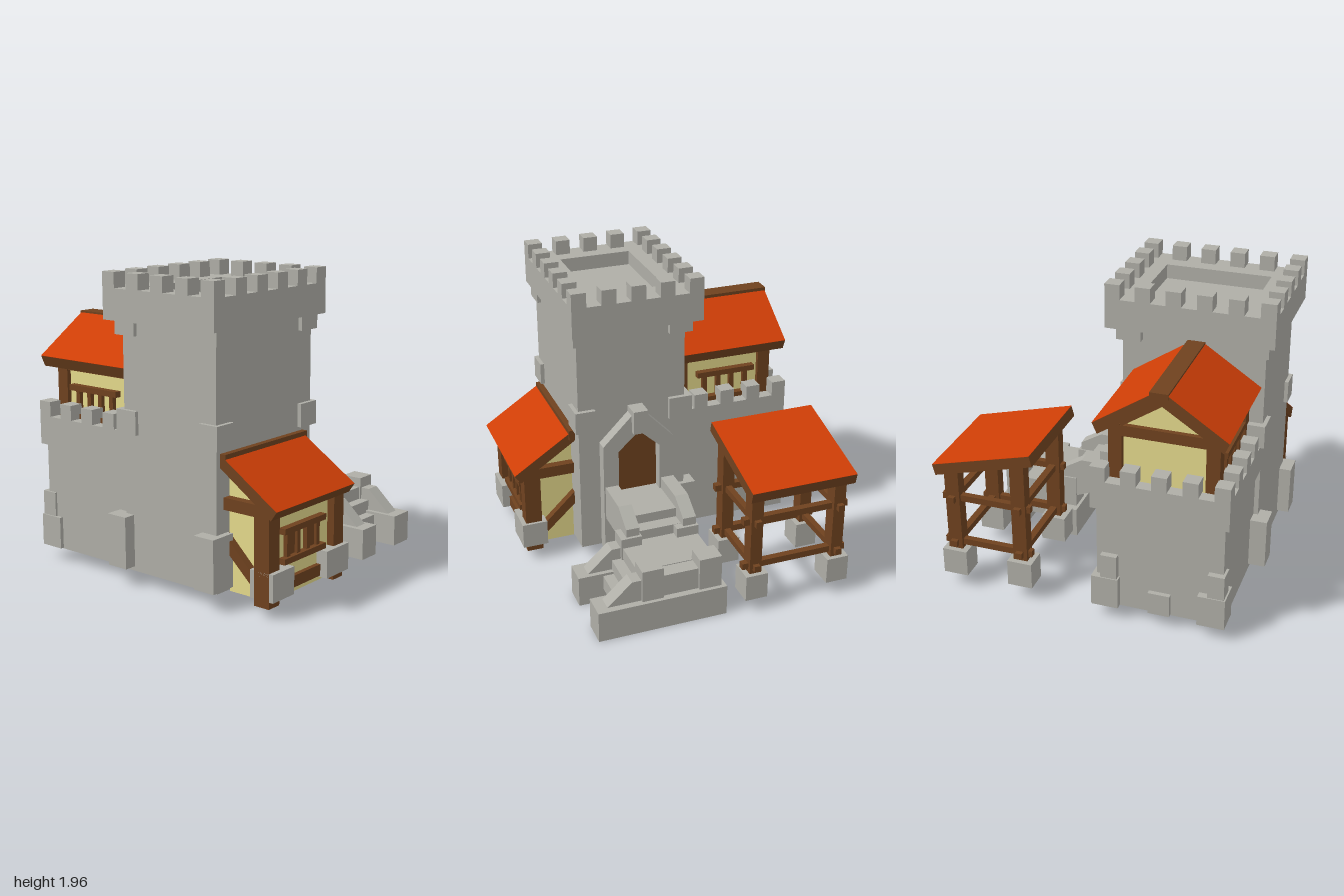
import * as THREE from 'three';

const mat = (name, color) => {
  const m = new THREE.MeshStandardMaterial({ color, side: THREE.DoubleSide });
  m.name = name;
  return m;
};

export function createModel() {
  const root = new THREE.Group();
  root.name = 'castle';
  const stone = mat('stone', 0xafaea7);
  const wood = mat('wood', 0x6f421f);
  const tile = mat('roofTile', 0xce3e06);
  const plaster = mat('plaster', 0xe5da8c);

  const section = (name) => {
    const g = new THREE.Group();
    g.name = name;
    root.add(g);
    return g;
  };
  const add = (g, name, geo, m) => {
    const mesh = new THREE.Mesh(geo, m);
    mesh.name = name;
    g.add(mesh);
    return mesh;
  };
  // box given by its limits on each axis
  const box = (g, name, m, x0, x1, y0, y1, z0, z1) =>
    add(g, name, new THREE.BoxGeometry(x1 - x0, y1 - y0, z1 - z0)
      .translate((x0 + x1) / 2, (y0 + y1) / 2, (z0 + z1) / 2), m);
  // stone block that is hollow and open below
  const block = (g, name, ...limits) => {
    const geo = box(g, name, stone, ...limits).geometry;
    const idx = Array.from(geo.index.array);
    idx.splice(18, 6);
    geo.setIndex(idx);
    geo.clearGroups();
  };
  const toShape = (pts) => new THREE.Shape(pts.map(([a, b]) => new THREE.Vector2(a, b)));
  // outline in (x, y) pushed along z
  const prismZ = (g, name, m, pts, z0, z1) =>
    add(g, name, new THREE.ExtrudeGeometry(toShape(pts), { depth: z1 - z0, bevelEnabled: false })
      .translate(0, 0, z0), m);
  // outline in (z, y) pushed along x, with an optional hole
  const prismX = (g, name, m, pts, x0, x1, hole) => {
    const flip = (list) => list.map(([z, y]) => [-z, y]);
    const s = toShape(flip(pts));
    if (hole) s.holes.push(toShape(flip(hole)));
    return add(g, name, new THREE.ExtrudeGeometry(s, { depth: x1 - x0, bevelEnabled: false })
      .rotateY(Math.PI / 2).translate(x0, 0, 0), m);
  };
  // wall ring with a sunken floor
  const parapet = (g, x0, x1, y0, y1, z0, z1, t, tz, floorY) => {
    box(g, 'parapetFloor', stone, x0 + t, x1 - t, y0, floorY, z0 + tz, z1 - tz);
    box(g, 'parapetBack', stone, x0, x1, y0, y1, z0, z0 + tz);
    box(g, 'parapetFront', stone, x0, x1, y0, y1, z1 - tz, z1);
    box(g, 'parapetRight', stone, x0, x0 + t, y0, y1, z0 + tz, z1 - tz);
    box(g, 'parapetLeft', stone, x1 - t, x1, y0, y1, z0 + tz, z1 - tz);
  };
  const merlons = (g, x0, x1, y0, y1, z0, z1, nx, nz, front = true) => {
    const s = 0.097;
    for (let i = 0; i < nx; i++) for (let j = 0; j < nz; j++) {
      const edge = i === 0 || i === nx - 1 || j === 0 || (front && j === nz - 1);
      if (!edge) continue;
      const x = x0 + (x1 - x0 - s) * i / (nx - 1), z = z0 + (z1 - z0 - s) * j / (nz - 1);
      box(g, 'merlon', stone, x, x + s, y0, y1, z, z + s);
    }
  };

  // main tower
  const tower = section('tower');
  block(tower, 'towerBody', -0.92, 0, 0.09, 1.67, -0.185, 0.55);
  parapet(tower, -0.99, 0.087, 1.67, 1.865, -0.28, 0.597, 0.19, 0.195, 1.77);
  merlons(tower, -0.99, 0.087, 1.865, 1.962, -0.28, 0.597, 6, 5);
  for (const [x0, x1] of [[-0.945, -0.79], [-0.13, 0.03]])
    for (const [z0, z1] of [[-0.23, -0.07], [0.44, 0.577]]) {
      box(tower, 'corbel', stone, x0, x1, 1.58, 1.67, z0, z1);
      box(tower, 'cornerStone', stone, x0, x1, 0.97, 1.12, z0, z1);
    }
  for (const [z0, z1] of [[-0.27, -0.12], [0.44, 0.59]])
    block(tower, 'baseStone', -1, -0.82, 0.12, 0.455, z0, z1);
  block(tower, 'baseStone', -0.13, 0.03, 0.08, 0.46, -0.26, -0.11);

  // pointed doorway
  const doorway = section('doorway');
  const opening = [[0.02, 0.4], [0.305, 0.4], [0.305, 0.82], [0.163, 0.95], [0.02, 0.82]];
  prismX(doorway, 'doorFrame', stone,
    [[-0.08, 0.08], [0.41, 0.08], [0.41, 0.87], [0.2, 1.08], [0.12, 1.08], [-0.08, 0.87]], 0, 0.08, opening);
  prismX(doorway, 'door', wood, opening, 0.002, 0.011);
  box(doorway, 'keystone', stone, 0, 0.122, 0.95, 1.11, 0.112, 0.212);

  // bridge from the door to the stair landing
  const bridge = section('bridge');
  for (const [z0, z1] of [[-0.08, 0.01], [0.31, 0.4]])
    prismZ(bridge, 'bridgeRail', stone, [[0.08, 0.335], [0.26, 0.335], [0.37, 0.29], [0.49, 0.29],
      [0.49, 0.48], [0.34, 0.57], [0.08, 0.57]], z0, z1);
  box(bridge, 'bridgeFloor', stone, 0.01, 0.36, 0.34, 0.49, 0.01, 0.31);
  box(bridge, 'bridgeStep', stone, 0.36, 0.45, 0.3, 0.426, 0.01, 0.31);

  // staircase with side walls
  const stairs = section('stairs');
  for (const [x0, x1, r0, r1, back] of [[0.36, 0.52, 0.395, 0.49, -0.145], [0.75, 0.925, 0.78, 0.88, -0.12]]) {
    block(stairs, 'stairWall', x0, x1, 0, 0.207, back, 0.735);
    prismX(stairs, 'stairRail', stone,
      [[-0.08, 0.2], [0.67, 0.2], [0.5, 0.355], [-0.08, 0.355]], r0, r1);
    for (const [z0, z1] of [[-0.09, 0.06], [0.3, 0.44]])
      box(stairs, 'railPost', stone, r0 - 0.015, r1 + 0.02, 0.2, 0.425, z0, z1);
  }
  [0.57, 0.5, 0.43].forEach((z, i) =>
    block(stairs, 'step', 0.45, 0.78, 0.09, 0.19 + i * 0.085, -0.085, z));

  // open shed with a sloping roof
  const shed = section('shed');
  const postX = [[0.395, 0.49, 1.0], [0.845, 0.94, 0.87]];
  const postZ = [[-0.915, -0.835], [-0.345, -0.265]];
  for (const [x0, x1, top] of postX) for (const [z0, z1] of postZ) {
    box(shed, 'shedPost', wood, x0, x1, 0.15, top, z0, z1);
    block(shed, 'postBase', x0 - 0.04, x1 + 0.03, 0.095, 0.272, z0 - 0.035, z1 + 0.035);
  }
  for (const y of [0.295, 0.62]) {
    for (const [z0, z1] of postZ)
      box(shed, 'crossBeam', wood, 0.37, 0.97, y, y + 0.043, z0 + 0.02, z1 - 0.02);
    for (const [x0, x1] of postX)
      box(shed, 'sideBeam', wood, x0 + 0.025, x1 - 0.025, y, y + 0.043, -0.945, -0.225);
  }
  prismZ(shed, 'shedRoof', wood, [[0.32, 0.995], [0.98, 0.818], [0.998, 0.889], [0.338, 1.064]], -0.952, -0.24);
  prismZ(shed, 'shedTiles', tile, [[0.338, 1.064], [0.998, 0.889], [0.9985, 0.891], [0.3385, 1.066]], -0.952, -0.24);

  // stone annex behind the tower
  const annex = section('annex');
  block(annex, 'annexBody', -0.89, -0.08, 0.085, 0.79, -0.92, -0.18);
  parapet(annex, -0.92, -0.05, 0.785, 0.975, -0.95, -0.18, 0.08, 0.08, 0.84);
  merlons(annex, -0.92, -0.05, 0.975, 1.072, -0.95, -0.28, 5, 4, false);
  for (const [x0, x1] of [[-0.915, -0.74], [-0.23, -0.055]]) {
    block(annex, 'annexCornerStone', x0, x1, 0.09, 0.3, -0.967, -0.8);
    block(annex, 'annexUpperStone', x0 + 0.01, x1 - 0.06, 0.3, 0.46, -0.96, -0.85);
  }
  block(annex, 'annexBackStone', -0.56, -0.42, 0.09, 0.24, -0.95, -0.85);

  // barred window built facing +z, centred on its own origin, with optional shutter panels
  const addWindow = (parent, panels) => {
    const g = new THREE.Group();
    g.name = 'window';
    parent.add(g);
    for (const y of [-0.11, 0.075]) box(g, 'windowRail', wood, -0.207, 0.207, y, y + 0.037, 0, 0.045);
    for (const s of [-1, 1]) {
      if (panels) box(g, 'shutter', wood, s * 0.098 - 0.05, s * 0.098 + 0.05, -0.08, 0.08, 0, 0.009);
      for (const d of [-0.05, 0.05])
        box(g, 'windowBar', wood, s * 0.098 + d - 0.016, s * 0.098 + d + 0.016, -0.08, 0.08, 0, 0.028);
    }
    return g;
  };

  // timber house on top of the annex
  const house = section('upperHouse');
  const cx = -0.485;
  prismZ(house, 'houseWalls', plaster, [[-0.8, 0.82], [-0.17, 0.82], [-0.17, 1.33], [cx, 1.545], [-0.8, 1.33]], -0.83, -0.18);
  for (const s of [-1, 1]) {
    const X = (d) => cx + s * d;
    const sideBox = (name, m, a, b, ...rest) =>
      box(house, name, m, Math.min(X(a), X(b)), Math.max(X(a), X(b)), ...rest);
    for (const [z0, z1] of [[-0.865, -0.78], [-0.265, -0.18]])
      sideBox('housePost', wood, 0.26, 0.345, 0.82, 1.33, z0, z1);
    sideBox('wallPlate', wood, 0.27, 0.34, 1.28, 1.34, -0.865, -0.18);
    prismZ(house, 'roofSlab', wood, [[X(0), 1.545], [X(0.385), 1.295], [X(0.415), 1.364], [X(0.05), 1.606], [X(0), 1.61]], -0.945, -0.182);
    prismZ(house, 'roofTiles', tile, [[X(0.415), 1.364], [X(0.416), 1.366], [X(0.05), 1.608], [X(0.05), 1.606]], -0.945, -0.182);
    prismZ(house, 'gableBrace', wood, [[X(0.3), 1.3], [X(0.34), 1.34], [X(0), 1.56], [X(0), 1.5]], -0.862, -0.82);
    const w = addWindow(house, false);
    w.rotation.y = s * Math.PI / 2;
    w.position.set(X(0.315), 1.08, -0.54);
  }
  box(house, 'ridgeBeam', wood, -0.535, -0.421, 1.585, 1.62, -0.95, -0.182);
  box(house, 'gableBeam', wood, -0.83, -0.14, 1.26, 1.33, -0.862, -0.82);

  // lean-to cottage in front of the tower, hollow and open below
  const cottage = section('cottage');
  box(cottage, 'cottageFrontWall', plaster, -0.8, -0.19, 0.08, 0.67, 0.82, 0.85);
  for (const x of [-0.8, -0.22])
    prismX(cottage, 'cottageSideWall', plaster, [[0.55, 0.08], [0.85, 0.08], [0.85, 0.67], [0.55, 0.86]], x, x + 0.03);
  for (const [x0, x1, b0, b1] of [[-0.87, -0.77, -0.87, -0.665], [-0.22, -0.12, -0.33, -0.1]]) {
    box(cottage, 'cottagePost', wood, x0, x1, 0.065, 0.68, 0.79, 0.9);
    block(cottage, 'cottageBase', b0, b1, 0.11, 0.283, 0.76, 0.93);
    const mid = (x0 + x1) / 2;
    box(cottage, 'sideBeam', wood, mid - 0.035, mid + 0.035, 0.6, 0.675, 0.55, 0.82);
    prismX(cottage, 'sideBrace', wood, [[0.8, 0.13], [0.8, 0.21], [0.55, 0.45], [0.55, 0.36]], mid - 0.03, mid + 0.03);
  }
  box(cottage, 'sillBeam', wood, -0.8, -0.19, 0.12, 0.193, 0.83, 0.88);
  box(cottage, 'headBeam', wood, -0.8, -0.19, 0.6, 0.66, 0.83, 0.89);
  addWindow(cottage, true).position.set(-0.503, 0.4, 0.85);
  prismX(cottage, 'cottageRoof', wood, [[0.55, 0.86], [0.925, 0.61], [0.965, 0.668], [0.55, 0.94]], -0.887, -0.1);
  prismX(cottage, 'cottageTiles', tile, [[0.59, 0.914], [0.965, 0.668], [0.966, 0.67], [0.59, 0.916]], -0.887, -0.1);
  box(cottage, 'roofBeam', wood, -0.887, -0.083, 0.875, 0.945, 0.548, 0.59);

  return root;
}
